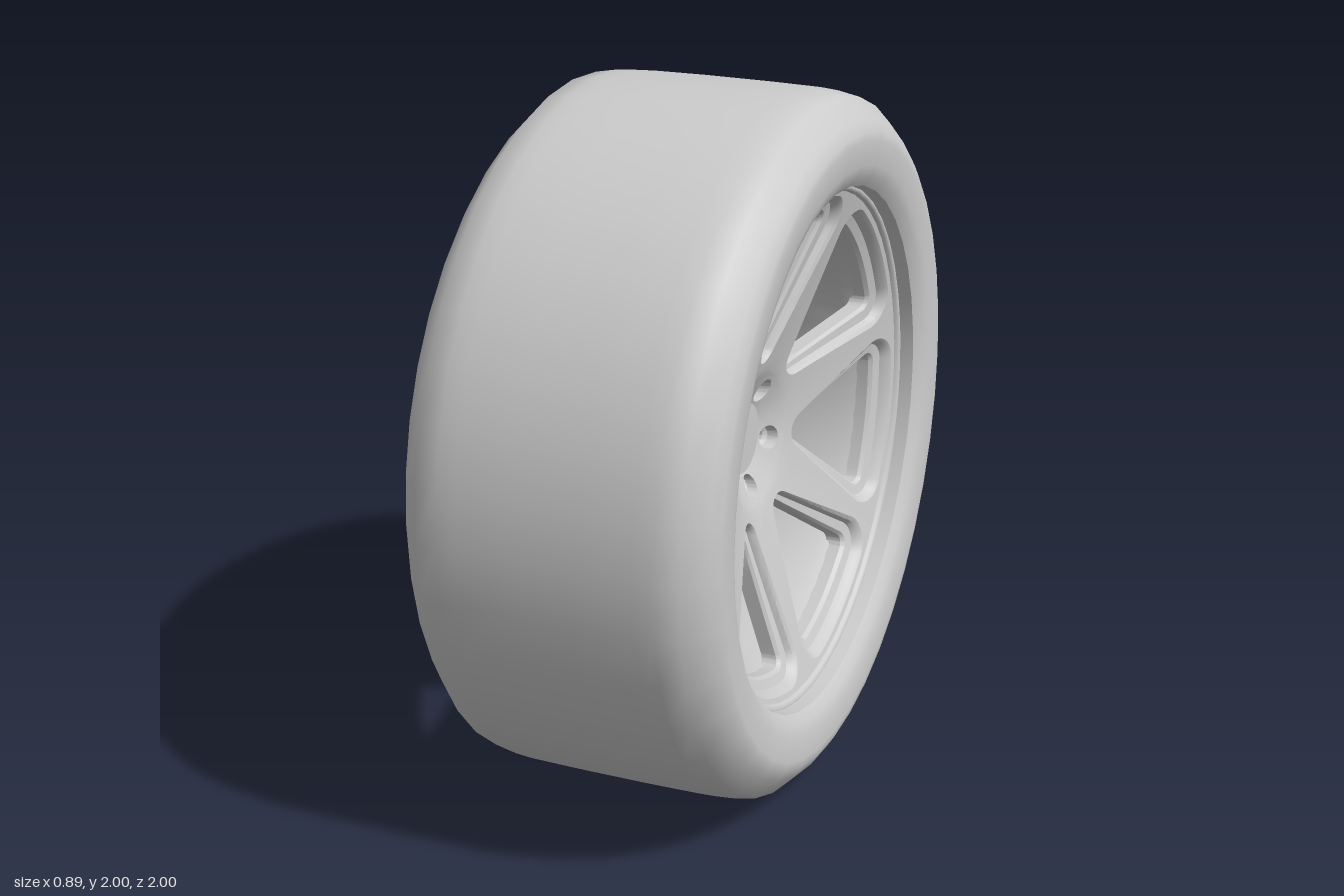
import * as THREE from 'three';
import { mergeGeometries, toCreasedNormals } from 'three/addons/utils/BufferGeometryUtils.js';

const SPOKES = 7, LUGS = 5, HALF = Math.PI / SPOKES, LUG_HALF = Math.PI / LUGS;
const CAP_R = 0.1, HUB_R = 0.2, LUG_R = 0.145, FACE_R = 0.722, THICK = 0.085;
const material = new THREE.MeshStandardMaterial({ color: 0xcccccc });
const doubleSided = new THREE.MeshStandardMaterial({ color: 0xcccccc, side: THREE.DoubleSide });

const lerp = THREE.MathUtils.lerp;
// Angle is measured from straight up, clockwise
const polar = (r, a) => new THREE.Vector2(r * Math.sin(a), r * Math.cos(a));

// Concave face of the wheel: axial height at a given radius
function dish(r) {
  if (r < HUB_R) return lerp(0.148, 0.198, (r - CAP_R) / (HUB_R - CAP_R));
  return lerp(0.198, 0.355, (r - HUB_R) / (FACE_R - HUB_R));
}

// Surface of revolution about the z axis; profile is [radius, z]
function lathe(profile, segments, crease) {
  const g = new THREE.LatheGeometry(profile.map(p => new THREE.Vector2(...p)), segments);
  return toCreasedNormals(g.rotateX(Math.PI / 2), crease);
}

function add(parent, name, geometry, mat = material) {
  const mesh = new THREE.Mesh(geometry, mat);
  mesh.name = name;
  parent.add(mesh);
  return mesh;
}

// Complete a right-hand half outline with its mirror image
function mirrorOutline(half) {
  const flip = v => new THREE.Vector2(-v.x, v.y);
  const left = half.slice(1, -1).reverse();
  return half.concat(left.map(o => ({ ...o, p: flip(o.p), n: flip(o.n), b: flip(o.b) })));
}

// Window outline: base point p, normal n, ledge width w, matching sector border point b
function windowOutline() {
  const apex = new THREE.Vector2(0, 0.29), cornerAngle = 0.27, topR = 0.628;
  const corner = polar(topR, cornerAngle);
  const d = corner.clone().sub(apex).normalize();
  const sideAngle = Math.atan2(-d.x, d.y), cornerEnd = Math.PI / 2 - cornerAngle;
  const dir = a => new THREE.Vector2(Math.cos(a), Math.sin(a));
  const half = [], N = 10;
  for (let i = 0; i <= N; i++) {          // rounded apex -> hub arc
    const t = i / N;
    half.push({ p: apex, n: dir(lerp(-Math.PI / 2, sideAngle, t)), w: 0.03, b: polar(HUB_R, HALF * t) });
  }
  for (let i = 1; i <= N; i++) {          // straight side -> spoke centre line
    const t = i / N;
    half.push({ p: apex.clone().lerp(corner, t), n: dir(sideAngle), w: lerp(0.03, 0.06, t),
      b: polar(lerp(HUB_R, 0.63, t), HALF) });
  }
  for (let i = 1; i <= N; i++) {          // rounded corner -> corner of the sector
    const t = i / N;
    const b = t <= 0.5 ? polar(lerp(0.63, FACE_R, t * 2), HALF)
      : polar(FACE_R, lerp(HALF, HALF * 0.7, t * 2 - 1));
    half.push({ p: corner, n: dir(lerp(sideAngle, cornerEnd, t)), w: lerp(0.06, 0.052, t), b });
  }
  for (let i = 1; i <= N; i++) {          // outer arc -> rim
    const t = i / N, a = lerp(cornerAngle, 0, t);
    half.push({ p: polar(topR, a), n: polar(1, a), w: 0.052, b: polar(FACE_R, lerp(HALF * 0.7, 0, t)) });
  }
  return mirrorOutline(half);
}

// Lug hole outline: a circle matched to its share of the hub ring
function lugOutline() {
  const p = polar(LUG_R, 0), border = [], N = 14;
  for (let i = 0; i <= N; i++) border.push(polar(CAP_R, LUG_HALF * i / N));
  for (let i = 1; i < 6; i++) border.push(polar(lerp(CAP_R, HUB_R, i / 6), LUG_HALF));
  for (let i = 0; i <= N; i++) border.push(polar(HUB_R, LUG_HALF * (1 - i / N)));
  return mirrorOutline(border.map(b => ({ p, n: b.clone().sub(p).normalize(), w: 0, b })));
}

// Loft a sector of the face around an opening.
// Each ring: [offset from outline, share of ledge width, blend to border, depth below face]
function loft(outline, rings) {
  const count = outline.length, pos = [], index = [];
  rings.forEach(([offset, ledge, blend, depth], k) => outline.forEach(({ p, n, w, b }, i) => {
    const v = p.clone().addScaledVector(n, offset + ledge * w).lerp(b, blend);
    pos.push(v.x, v.y, dish(v.length()) - depth);
    if (k === rings.length - 1) return;
    const j = (i + 1) % count, a = k * count, c = a + count;
    index.push(a + i, c + i, c + j, a + i, c + j, a + j);
  }));
  const g = new THREE.BufferGeometry();
  g.setAttribute('position', new THREE.Float32BufferAttribute(pos, 3));
  g.setIndex(index);
  return g;
}

// Spokes and hub as one continuous dished shell, hollow behind
function faceGeometry() {
  const sectors = [];
  const windowRings = [
    [0.026, 0, 0, THICK], [0.026, 0, 0, 0.04], [0.026, 0.15, 0, 0.03], [0.026, 0.65, 0, 0.026],
    [0.026, 0.8, 0, 0.008], [0.026, 1, 0, 0], [0.026, 1, 0.5, 0], [0.026, 1, 1, 0],
  ];
  const lugRings = [
    [0.019, 0, 0, THICK], [0.019, 0, 0, 0.035], [0.029, 0, 0, 0.028],
    [0.034, 0, 0, 0], [0.034, 0, 0.35, 0], [0.034, 0, 0.7, 0], [0.034, 0, 1, 0],
  ];
  for (let i = 0; i < SPOKES; i++) sectors.push(loft(windowOutline(), windowRings).rotateZ(i * 2 * HALF));
  for (let i = 0; i < LUGS; i++) sectors.push(loft(lugOutline(), lugRings).rotateZ(Math.PI + i * 2 * LUG_HALF));
  return toCreasedNormals(mergeGeometries(sectors), 0.5);
}

export function createModel() {
  const model = new THREE.Group();
  model.name = 'wheel';
  const wheel = new THREE.Group();   // built facing +z, then turned to face +x
  wheel.name = 'wheelAssembly';
  wheel.rotation.y = Math.PI / 2;
  wheel.position.y = 1;
  model.add(wheel);

  // Tyre with flat sidewalls and chamfered shoulders
  const shoulder = [[0.8, 0.437], [0.87, 0.443], [0.892, 0.44], [0.925, 0.42], [0.982, 0.365],
    [0.994, 0.3], [0.998, 0.25], [1, 0.1]];
  const frontBead = [[0.77, 0.428], [0.742, 0.408], [0.737, 0.34]];
  const backBead = [[0.736, -0.34], [0.739, -0.425], [0.77, -0.433]];
  const tyre = [...backBead, ...shoulder.map(([r, z]) => [r, -z]), ...shoulder.reverse(), ...frontBead];
  add(wheel, 'tyre', lathe(tyre, 40, 0.85));

  // Rim barrel with deep rear flange and drop step
  const barrel = [[0.743, -0.412], [0.737, -0.416], [0.729, -0.408], [0.72, -0.33], [0.692, -0.322],
    [0.686, -0.26], [0.66, -0.22], [0.645, -0.1], [0.641, 0.08], [0.641, 0.22], [0.66, 0.275]];
  add(wheel, 'rimBarrel', lathe(barrel, 56, 0.5), doubleSided);
  const lip = [[0.742, 0.368], [0.733, 0.37], [0.725, 0.364], [0.72, 0.35]];
  add(wheel, 'rimLip', lathe(lip, 56, 0.9), doubleSided);

  // Spoked face and centre cap
  add(wheel, 'spokesAndHub', faceGeometry(), doubleSided);
  const cap = new THREE.CylinderGeometry(0.101, 0.101, 0.03, 40).rotateX(Math.PI / 2);
  add(wheel, 'centreCap', cap).position.z = 0.139;
  return model;
}
